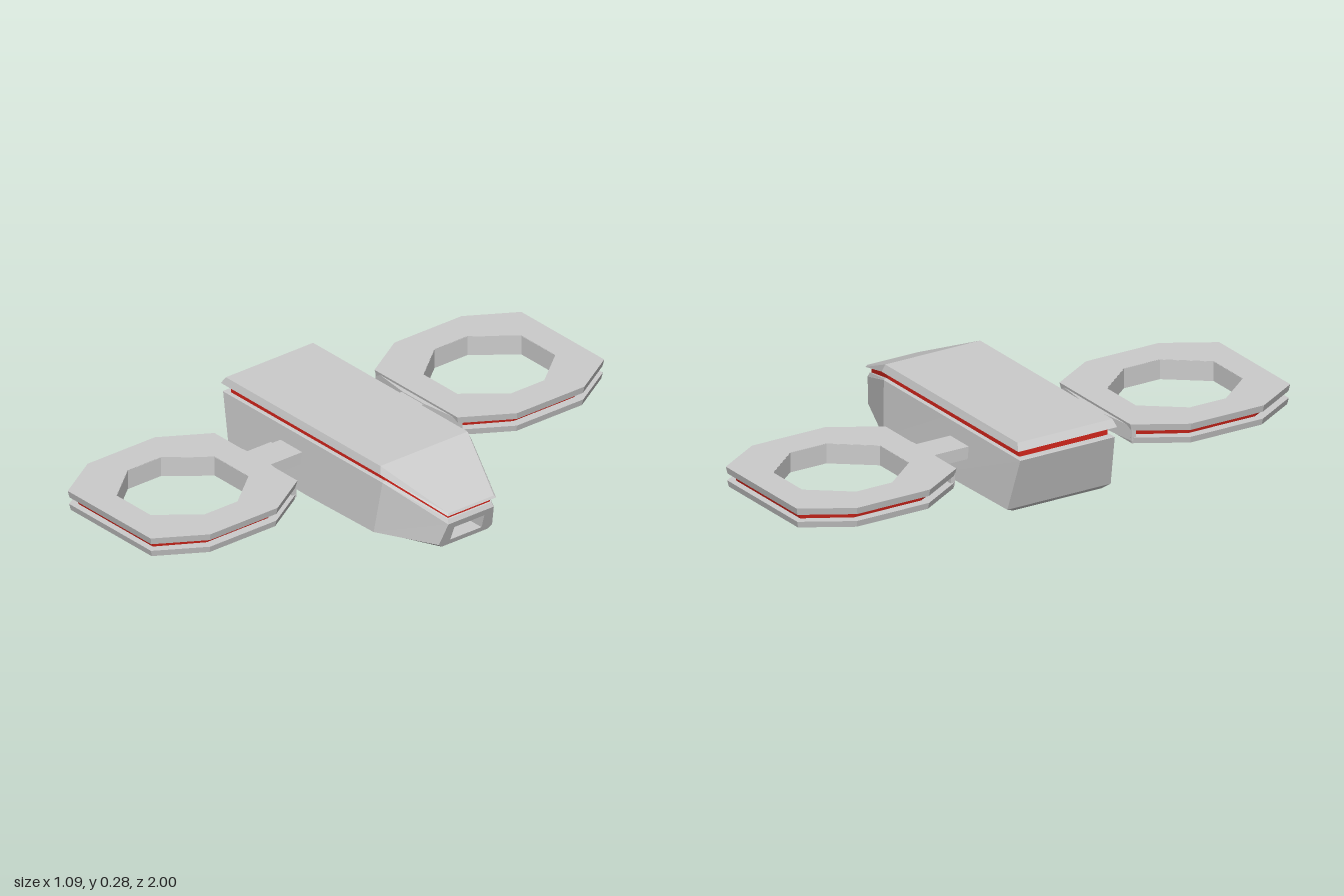
import * as THREE from 'three';

const grey = new THREE.MeshStandardMaterial({ color: 0xcccccc, flatShading: true });
const red = new THREE.MeshStandardMaterial({ color: 0xd8261c, flatShading: true });

function add(parent, name, geometry, material = grey) {
  const mesh = new THREE.Mesh(geometry, material);
  mesh.name = name;
  parent.add(mesh);
  return mesh;
}

// Closed ring from [x, y, halfWidth] stations running rear to nose, mirrored in z
function ring(stations) {
  const side = s => stations.map(([x, y, w]) => [x, y, s * w]);
  return [...side(1), ...side(-1).reverse()];
}

// Flat-shaded skin through rings; openNose leaves out that layer's front quad
function loft(rings, { bottom = true, openNose = -1 } = {}) {
  const pos = [];
  const quad = (a, b, c, d) => pos.push(...a, ...b, ...c, ...a, ...c, ...d);
  const count = rings[0].length, n = count / 2;
  for (let k = 0; k < rings.length - 1; k++) {
    const lo = rings[k], hi = rings[k + 1];
    for (let i = 0; i < count; i++) {
      if (k === openNose && i === n - 1) continue;
      const j = (i + 1) % count;
      quad(lo[i], lo[j], hi[j], hi[i]);
    }
  }
  const first = rings[0], last = rings[rings.length - 1];
  for (let i = 0; i < n - 1; i++) {
    const p = count - 2 - i, q = count - 1 - i;
    quad(last[i], last[i + 1], last[p], last[q]);
    if (bottom) quad(first[q], first[p], first[i + 1], first[i]);
  }
  const g = new THREE.BufferGeometry();
  g.setAttribute('position', new THREE.Float32BufferAttribute(pos, 3));
  g.computeVertexNormals();
  return g;
}

// Counter-clockwise chamfered rectangle: half sizes (hx, hz), flat edges of half length (fx, fz)
function octagon(hx, hz, fx, fz, scale = 1) {
  return [[fx, hz], [-fx, hz], [-hx, fz], [-hx, -fz], [-fx, -hz], [fx, -hz], [hx, -fz], [hx, fz]]
    .map(([x, z]) => new THREE.Vector2(x * scale, z * scale));
}

// Horizontal slab with a hole; the outer wall shrinks by taper at the underside
function slab(outline, hole, y0, y1, taper = 1) {
  const shape = new THREE.Shape(outline);
  if (hole) shape.holes.push(new THREE.Path(hole));
  const g = new THREE.ExtrudeGeometry(shape, { depth: y1 - y0, bevelEnabled: false })
    .rotateX(Math.PI / 2).translate(0, y1, 0);
  const p = g.attributes.position;
  for (let i = 0; i < p.count; i++) {
    const x = p.getX(i), z = p.getZ(i);
    if (p.getY(i) < (y0 + y1) / 2 && Math.hypot(x, z) > 0.3) {
      p.setX(i, x * taper);
      p.setZ(i, z * taper);
    }
  }
  g.computeVertexNormals();
  return g;
}

function box(x0, x1, y0, y1, z0, z1) {
  return new THREE.BoxGeometry(x1 - x0, y1 - y0, z1 - z0)
    .translate((x0 + x1) / 2, (y0 + y1) / 2, (z0 + z1) / 2);
}

function createHull() {
  const hull = new THREE.Group();
  hull.name = 'hull';

  // Lower body with an undercut rear, a chamfered keel and a bevelled nose tip
  add(hull, 'lowerBody', loft([
    ring([[-0.485, 0.014, 0.18], [-0.08, 0.002, 0.18], [0.27, 0.012, 0.18], [0.505, 0.028, 0.1]]),
    ring([[-0.493, 0.026, 0.209], [-0.08, 0.021, 0.211], [0.275, 0.026, 0.209], [0.51, 0.042, 0.117]]),
    ring([[-0.546, 0.22, 0.191], [-0.08, 0.22, 0.191], [0.3, 0.22, 0.191], [0.54, 0.128, 0.1]]),
    ring([[-0.544, 0.223, 0.188], [-0.08, 0.223, 0.188], [0.3, 0.223, 0.188], [0.533, 0.144, 0.096]]),
  ], { openNose: 1 }));

  // Nose face with a rectangular recess
  const noseRing = (y0, y1, w0, w1, back = 0) => {
    const x = y => 0.51 + 0.03 * (y - 0.042) / 0.086 - back;
    return [[x(y0), y0, w0], [x(y0), y0, -w0], [x(y1), y1, -w1], [x(y1), y1, w1]];
  };
  add(hull, 'noseRecess', loft([
    noseRing(0.042, 0.128, 0.117, 0.1),
    noseRing(0.048, 0.103, 0.069, 0.066),
    noseRing(0.048, 0.103, 0.069, 0.066, 0.07),
  ], { bottom: false }));

  // Red stripe set in between body and lid
  add(hull, 'hullStripe', loft([
    ring([[-0.52, 0.215, 0.178], [0.295, 0.215, 0.178], [0.528, 0.135, 0.092]]),
    ring([[-0.52, 0.258, 0.178], [0.295, 0.258, 0.178], [0.528, 0.167, 0.092]]),
  ]), red);

  // Lid sloping down to the nose
  add(hull, 'lid', loft([
    ring([[-0.547, 0.255, 0.2], [0.3, 0.253, 0.2], [0.545, 0.163, 0.106]]),
    ring([[-0.53, 0.281, 0.192], [0.29, 0.281, 0.192], [0.54, 0.171, 0.1]]),
  ]));
  return hull;
}

function createPod(s, name) {
  const pod = new THREE.Group();
  pod.name = name;
  const frame = new THREE.Group();
  frame.name = 'ringFrame';
  frame.position.set(-0.177, 0, s * 0.675);
  pod.add(frame);

  const outer = scale => octagon(0.326, 0.323, 0.22, 0.148, scale);
  const hole = scale => octagon(0.204, 0.216, 0.09, 0.073, scale);

  // Two grey plates with a red core and a lined opening
  add(frame, 'upperPlate', slab(outer(1), hole(1), 0.152, 0.177, 0.985));
  add(frame, 'lowerPlate', slab(outer(0.988), hole(1), 0.104, 0.127, 0.985));
  add(frame, 'redCore', slab(octagon(0.297, 0.302, 0.202, 0.138), hole(1.05), 0.12, 0.158, 0.97), red);
  add(frame, 'openingLiner', slab(hole(1.08), hole(0.996), 0.105, 0.176));

  // Grey inboard edge tapering to the strut
  const mount = [[-0.22, -0.318], [-0.055, -0.338], [0.055, -0.338], [0.22, -0.318], [0.22, -0.3], [-0.22, -0.3]]
    .map(([x, z]) => new THREE.Vector2(x, s * z));
  add(frame, 'inboardMount', slab(mount, null, 0.115, 0.168));

  // Strut into the hull
  const strut = add(pod, 'strut', box(-0.235, -0.12, 0.12, 0.165, -0.1, 0.1));
  strut.position.z = s * 0.26;
  return pod;
}

export function createModel() {
  const model = new THREE.Group();
  model.name = 'craft';
  model.add(createHull(), createPod(1, 'leftPod'), createPod(-1, 'rightPod'));
  // Small fitting behind one strut only
  add(model, 'strutFitting', box(-0.258, -0.23, 0.125, 0.155, 0.22, 0.335));
  return model;
}
